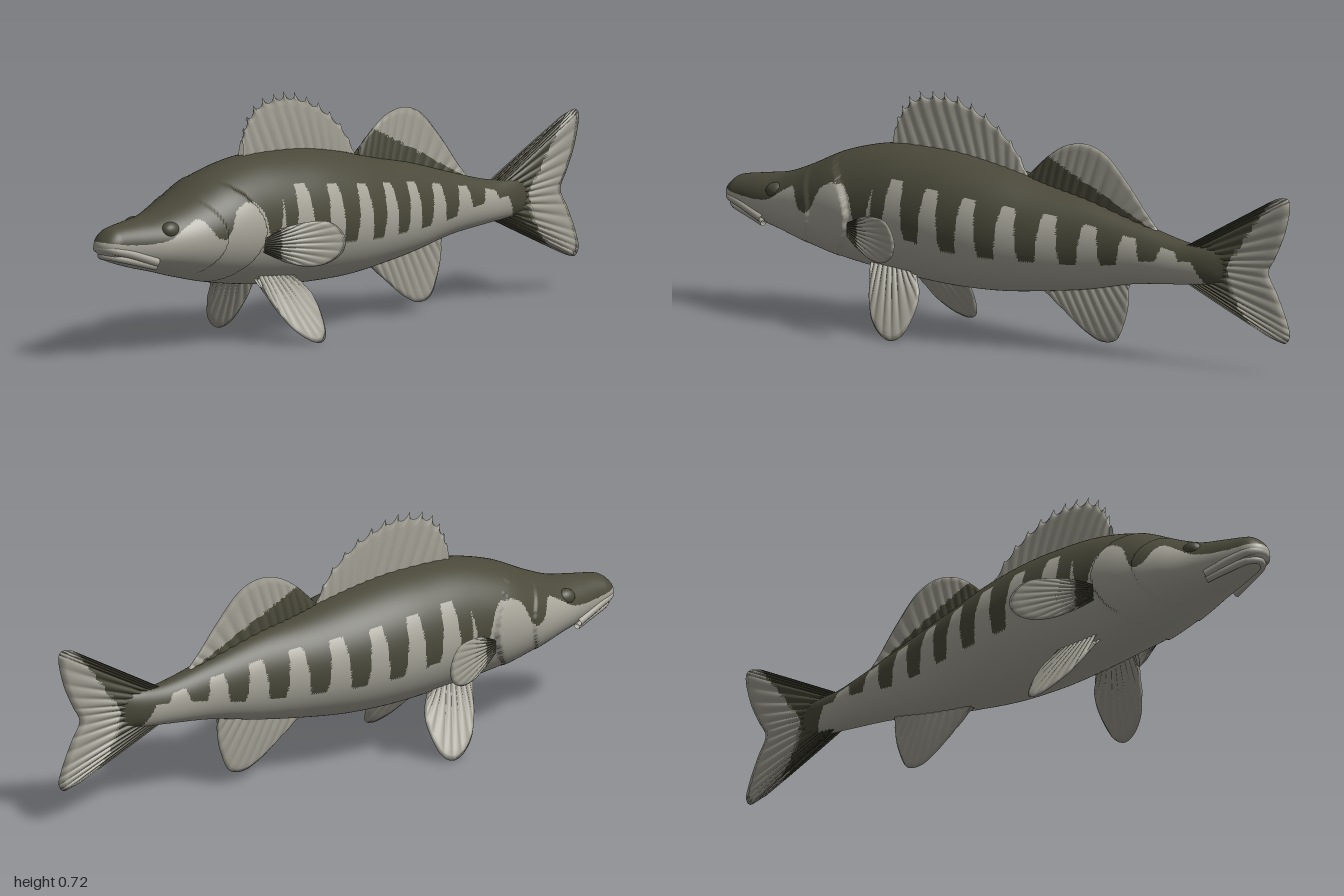
import * as THREE from 'three';
import { mergeVertices } from 'three/addons/utils/BufferGeometryUtils.js';

const material = (name, color) => {
  const m = new THREE.MeshStandardMaterial({ color, side: THREE.DoubleSide });
  m.name = name;
  return m;
};
const { lerp, smoothstep } = THREE.MathUtils;

// Smooth interpolation of a table of [z, a, b, ...] rows, z falling
function sample(rows, z, col = 1) {
  let i = 0;
  while (i < rows.length - 2 && z < rows[i + 1][0]) i++;
  const slope = k => {
    const p = rows[Math.max(k - 1, 0)], q = rows[Math.min(k + 1, rows.length - 1)];
    return (q[col] - p[col]) / (q[0] - p[0]);
  };
  const a = rows[i], b = rows[i + 1], h = b[0] - a[0];
  const t = THREE.MathUtils.clamp((z - a[0]) / h, 0, 1), t2 = t * t, t3 = t2 * t;
  return a[col] * (2 * t3 - 3 * t2 + 1) + slope(i) * h * (t3 - 2 * t2 + t)
    + b[col] * (3 * t2 - 2 * t3) + slope(i + 1) * h * (t3 - t2);
}

// Grid surface; each cell goes to material 0 or 1 by the isDark(z, y) rule
function gridSurface(nu, nv, point, isDark) {
  const pos = [], cells = [[], []];
  for (let i = 0; i <= nu; i++)
    for (let j = 0; j <= nv; j++) pos.push(...point(i / nu, j / nv));
  const w = nv + 1;
  for (let i = 0; i < nu; i++) {
    for (let j = 0; j < nv; j++) {
      const a = i * w + j, b = a + w, c = b + 1, d = a + 1;
      for (const tri of [[a, b, c], [a, c, d]]) {
        const mean = k => tri.reduce((s, v) => s + pos[v * 3 + k], 0) / 3;
        cells[isDark(mean(2), mean(1)) ? 1 : 0].push(...tri);
      }
    }
  }
  let g = new THREE.BufferGeometry();
  g.setAttribute('position', new THREE.Float32BufferAttribute(pos, 3));
  g.setIndex(cells[0].concat(cells[1]));
  g.addGroup(0, cells[0].length, 0);
  g.addGroup(cells[0].length, cells[1].length, 1);
  g = mergeVertices(g, 1e-5);
  g.computeVertexNormals();
  return g;
}

// z, top, bottom, half width
const BODY = [
  [1, .378, .312, .05], [.95, .397, .292, .056], [.87, .41, .268, .078], [.785, .424, .247, .104],
  [.7, .456, .224, .134], [.57, .515, .194, .158], [.41, .552, .17, .166], [.25, .555, .155, .175],
  [.14, .547, .15, .175], [0, .523, .153, .163], [-.14, .489, .168, .134], [-.29, .458, .19, .097],
  [-.45, .414, .223, .068], [-.62, .371, .241, .045], [-.72, .364, .25, .029], [-.78, .355, .262, .008],
];
// Lower edge of the dark back on the head, then between and along the flank bars
const HEAD_EDGE = [
  [1, .358], [.9, .346], [.8, .353], [.73, .392], [.69, .405], [.65, .35], [.61, .352],
  [.57, .425], [.5, .44], [.465, .40], [.44, .32], [.41, .33], [.385, .44],
];
const GAP_EDGE = [[.4, .47], [.3, .475], [0, .44], [-.2, .42], [-.46, .375], [-.66, .335]];
const BAR_EDGE = [[.4, .34], [.24, .30], [.1, .28], [-.137, .275], [-.4, .285], [-.5, .305], [-.66, .32]];

function darkOnBody(z, y) {
  if (z > .385) return y > sample(HEAD_EDGE, z);
  if (z < -.67 - Math.max(0, .32 - y) * .6) return true;
  const wave = .5 + .5 * Math.cos((z - .24) / .128 * Math.PI * 2);
  return y > lerp(sample(GAP_EDGE, z), sample(BAR_EDGE, z), smoothstep(wave, .2, .7));
}

function bodyPoint(u, v) {
  const z = 1 - 1.78 * Math.pow(u, 1.3), a = v * Math.PI * 2;
  const top = sample(BODY, z, 1), bottom = sample(BODY, z, 2), mid = (top + bottom) / 2;
  const nose = z > .95 ? Math.sqrt(Math.max(0, 1 - ((z - .95) / .05) ** 2)) : 1;
  let x = Math.cos(a) * sample(BODY, z, 3) * nose;
  const y = mid + Math.sin(a) * (top - bottom) / 2 * nose;
  // Overlapping cheek and gill plates, each ending in a curved step
  for (const [edge, front, lift] of [[.47, .68, .08], [.615, .74, .045]]) {
    const rim = edge + ((y - .35) / .13) ** 2 * .075;
    if (z > rim) x *= 1 + lift * (1 - smoothstep(z, rim, front));
  }
  return [x, y, z];
}

// Ribbed two-sided fin between a root line and a rim curve, both as [z, y]
function finGeometry(root, rim, { rays = 10, thick = .011, teeth = 0, x = () => 0, dark = () => false }) {
  const curve = pts => new THREE.CatmullRomCurve3(pts.map(p => new THREE.Vector3(0, p[1], p[0])), false, 'centripetal');
  const rootCurve = curve(root), rimCurve = curve(rim), nv = 28;
  return gridSurface(rays * 8, nv, (u, v) => {
    const side = v <= .5 ? 1 : -1, reach = 1 - Math.abs(2 * v - 1);
    const frac = (u * rays) % 1;
    const dip = teeth * Math.sqrt(Math.max(0, Math.sin(Math.PI * frac)));
    const p = rootCurve.getPoint(u).lerp(rimCurve.getPoint(u), reach * (1 - dip));
    const rib = .55 + .45 * Math.abs(Math.cos(Math.PI * u * rays));
    const t = reach > .999 ? 0 : thick * rib * (1 - .65 * reach * reach);
    return [x(p.z, p.y) + side * t, p.y, p.z];
  }, dark);
}

export function createModel() {
  const group = new THREE.Group();
  group.name = 'fish';
  const dark = material('dark olive', 0x4a493a);
  const pale = material('pale belly', 0xa9a79b);
  const finPale = material('fin grey', 0xa09e92);
  const add = (name, geometry, mat) => {
    const mesh = new THREE.Mesh(geometry, mat);
    mesh.name = name;
    group.add(mesh);
    return mesh;
  };
  const fin = (name, root, rim, options) => add(name, finGeometry(root, rim, options), [finPale, dark]);

  add('body', gridSurface(300, 140, bodyPoint, darkOnBody), [pale, dark]);

  // Unpaired fins
  fin('spinyDorsalFin', [[.41, .53], [.14, .53], [-.07, .48]],
    [[.405, .6], [.39, .655], [.35, .705], [.28, .725], [.21, .725], [.13, .7], [.05, .655], [-.02, .59], [-.065, .51]],
    { rays: 13, teeth: .13 });
  fin('softDorsalFin', [[-.06, .485], [-.25, .45], [-.51, .385]],
    [[-.08, .52], [-.14, .575], [-.2, .612], [-.27, .625], [-.34, .603], [-.42, .525], [-.49, .44], [-.53, .395]],
    { rays: 14, dark: (z, y) => y < .575 + (z + .14) * .48 });
  fin('analFin', [[-.11, .18], [-.27, .205], [-.42, .235]],
    [[-.13, .165], [-.2, .11], [-.27, .06], [-.33, .035], [-.38, .045], [-.41, .1], [-.425, .16], [-.425, .215]],
    { rays: 11, thick: .012 });
  const TAIL_EDGE = [[.55, -.95], [.53, -.94], [.41, -.85], [.3, -.785], [.2, -.82], [.12, -.89], [.08, -.92]];
  fin('tailFin', [[-.64, .362], [-.64, .305], [-.64, .25]],
    [[-.95, .535], [-.985, .542], [-1, .53], [-.985, .44], [-.95, .36], [-.925, .31], [-.955, .25],
      [-.99, .17], [-1, .125], [-.985, .103], [-.95, .108]],
    { rays: 18, thick: .015, dark: (z, y) => z > sample(TAIL_EDGE, y) });

  for (const s of [1, -1]) {
    const side = s > 0 ? 'left' : 'right';
    // Paired fins
    fin(side + 'PectoralFin', [[.47, .33], [.47, .31], [.47, .29]],
      [[.41, .358], [.35, .37], [.28, .368], [.245, .34], [.232, .305], [.245, .27], [.29, .242], [.35, .238], [.41, .255]],
      { rays: 11, thick: .009, x: (z, y) => s * (.155 + (.47 - z) * .46), dark: z => z > .42 });
    fin(side + 'PelvicFin', [[.43, .205], [.36, .21], [.29, .2]],
      [[.425, .17], [.4, .1], [.37, .05], [.32, .012], [.28, .003], [.25, .02], [.232, .08], [.235, .13], [.27, .185]],
      { rays: 9, thick: .014, x: (z, y) => s * (.085 + (.2 - y) * .63) });

    // Eyes
    const eye = add(side + 'Eye', new THREE.SphereGeometry(.03, 24, 16), dark);
    eye.scale.set(.8, .85, 1.1);
    eye.position.set(s * .078, .378, .78);
  }

  // Lips wrapping the snout
  const lip = (name, half, radius) => {
    const pts = [...half.slice(1).reverse().map(([x, y, z]) => [-x, y, z]), ...half];
    const path = new THREE.CatmullRomCurve3(pts.map(p => new THREE.Vector3(...p)));
    add(name, new THREE.TubeGeometry(path, 60, radius, 12), pale);
  };
  lip('upperLip', [[0, .338, .987], [.034, .334, .972], [.054, .32, .92], [.075, .288, .83]], .013);
  lip('lowerLip', [[0, .314, .978], [.03, .31, .96], [.05, .294, .9], [.068, .274, .83]], .011);

  return group;
}
